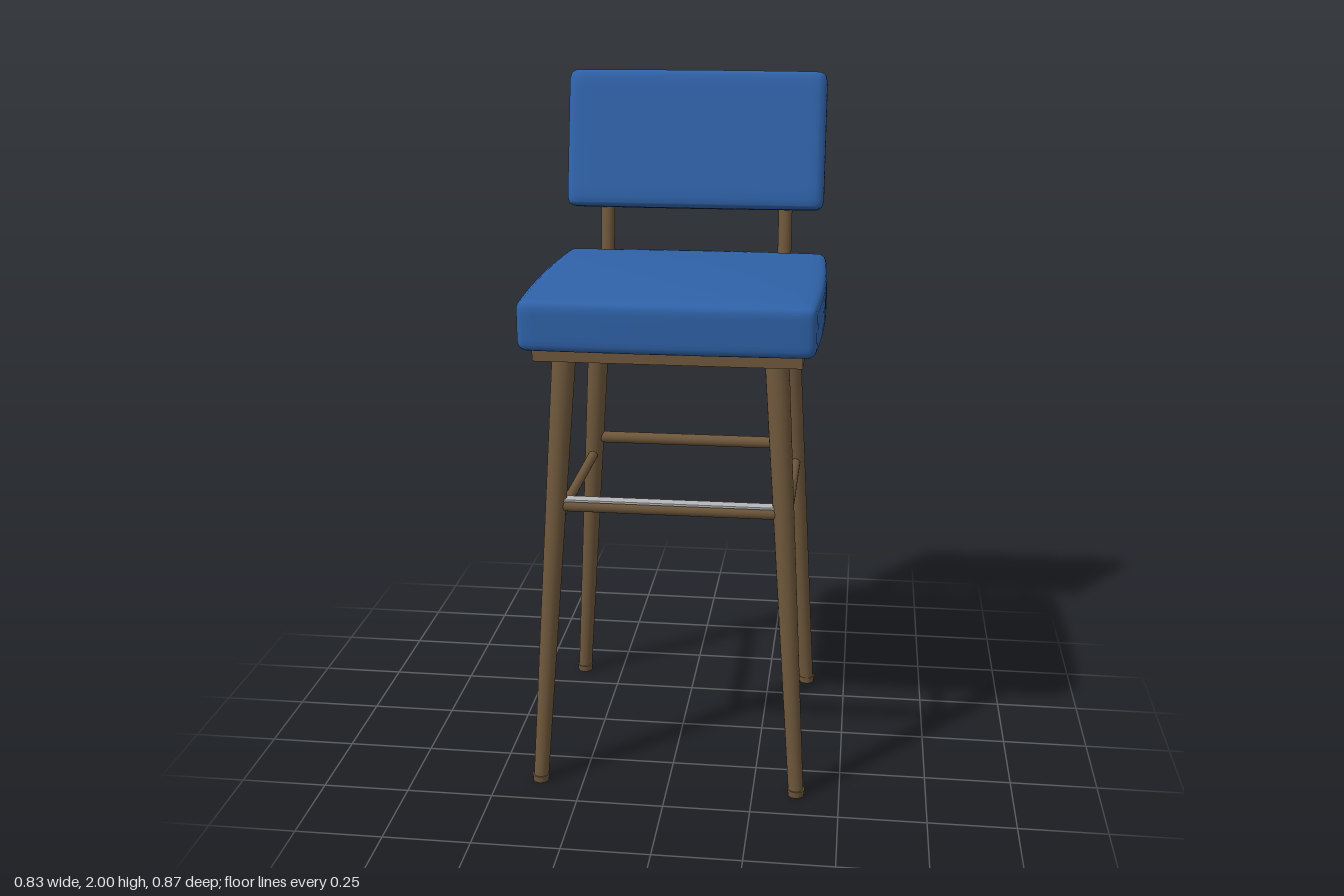
import * as THREE from 'three';
import { mergeVertices } from 'three/addons/utils/BufferGeometryUtils.js';

const mat = (name, color) => {
  const m = new THREE.MeshStandardMaterial({ color });
  m.name = name;
  return m;
};

// Rounded box whose faces swell by `bulge` on each axis
function cushionGeometry(size, radius, bulge, flatBottom) {
  const half = size.map((s) => s / 2);
  let g = new THREE.BoxGeometry(2, 2, 2, 20, 12, 20);
  g.deleteAttribute('normal');
  g.deleteAttribute('uv');
  g = mergeVertices(g);
  const pos = g.attributes.position;
  for (let i = 0; i < pos.count; i++) {
    // Crowd the grid towards the edges, then round them
    const n = [pos.getX(i), pos.getY(i), pos.getZ(i)].map((t) => Math.sin(t * Math.PI / 2));
    const p = new THREE.Vector3(...n.map((t, k) => t * half[k]));
    const lim = new THREE.Vector3(...half.map((h) => h - radius));
    const inner = p.clone().clamp(lim.clone().negate(), lim);
    p.sub(inner).setLength(radius).add(inner);
    // Swell
    const [fx, fy, fz] = n.map((t) => 1 - t * t);
    p.x += n[0] * bulge[0] * fz;
    p.z += n[2] * bulge[2] * fx;
    if (!flatBottom || n[1] > 0) p.y += n[1] * bulge[1] * fx * fz;
    pos.setXYZ(i, p.x, p.y, p.z);
  }
  g.computeVertexNormals();
  return g;
}

export function createModel() {
  const model = new THREE.Group();
  model.name = 'barStool';
  const blue = mat('blueUpholstery', 0x2f62a8);
  const wood = mat('brownWood', 0x6e573b);
  const metal = mat('footrestMetal', 0xb4b6b8);

  const add = (name, geometry, material, parent = model) => {
    const mesh = new THREE.Mesh(geometry, material);
    mesh.name = name;
    parent.add(mesh);
    return mesh;
  };

  // Turned part along a line; profile holds [radius, fraction along the line]
  const turned = (name, a, b, profile, parent) => {
    const dir = b.clone().sub(a);
    const len = dir.length();
    const pts = profile.map(([r, t]) => new THREE.Vector2(r, t * len));
    const mesh = add(name, new THREE.LatheGeometry(pts, 20), wood, parent);
    mesh.position.copy(a);
    mesh.quaternion.setFromUnitVectors(new THREE.Vector3(0, 1, 0), dir.normalize());
    return mesh;
  };
  const v = (x, y, z) => new THREE.Vector3(x, y, z);

  // Seat cushion and the board below it
  add('seatCushion', cushionGeometry([0.806, 0.142, 0.776], 0.026, [0.013, 0.018, 0.008], true), blue)
    .position.set(0, 1.382, 0.037);
  add('seatBoard', new THREE.BoxGeometry(0.735, 0.034, 0.7), wood).position.set(0, 1.295, 0.04);

  // Tilted back cushion
  const back = add('backCushion', cushionGeometry([0.776, 0.412, 0.08], 0.026, [0.005, 0.002, 0.003], false), blue);
  back.position.set(0, 1.792, -0.352);
  back.rotation.x = -0.22;

  // Leg axis at height y
  const legAt = (sx, sz, y) => {
    const t = y / 1.285;
    const z = sz > 0 ? THREE.MathUtils.lerp(0.39, 0.31, t) : THREE.MathUtils.lerp(-0.35, -0.283, t);
    return v(sx * THREE.MathUtils.lerp(0.376, 0.294, t), y, z);
  };

  for (const sx of [-1, 1]) {
    const side = sx > 0 ? 'left' : 'right';
    for (const sz of [-1, 1]) {
      const end = sz > 0 ? 'Front' : 'Back';
      turned(side + end + 'Leg', legAt(sx, sz, 0.015), legAt(sx, sz, 1.285),
        [[0, 0], [0.022, 0], [0.0335, 1], [0, 1]]);
      // Foot glide
      const foot = add(side + end + 'Foot', new THREE.CylinderGeometry(0.025, 0.023, 0.02, 20), wood);
      foot.position.copy(legAt(sx, sz, 0)).setY(0.01);
    }
    // Side rung
    turned(side + 'Rung', legAt(sx, -1, 0.79), legAt(sx, 1, 0.79), [[0.015, 0], [0.015, 1]]);
    // Back post, pointed where it meets the back cushion
    turned(side + 'BackPost', v(sx * 0.275, 1.293, -0.309), v(sx * 0.275, 1.77, -0.378),
      [[0, 0], [0.018, 0], [0.021, 0.01], [0.021, 0.65], [0.015, 0.85], [0.004, 1], [0, 1]]);
  }

  // Front and back rungs
  for (const sz of [-1, 1]) {
    turned(sz > 0 ? 'frontRung' : 'backRung', legAt(-1, sz, 0.847), legAt(1, sz, 0.847),
      [[0.018, 0], [0.018, 1]]);
  }

  // Metal strip on top of the front rung
  const a = legAt(1, 1, 0.865);
  add('footrestStrip', new THREE.BoxGeometry(a.x * 2 - 0.05, 0.006, 0.036), metal)
    .position.set(0, 0.865, a.z);

  return model;
}
